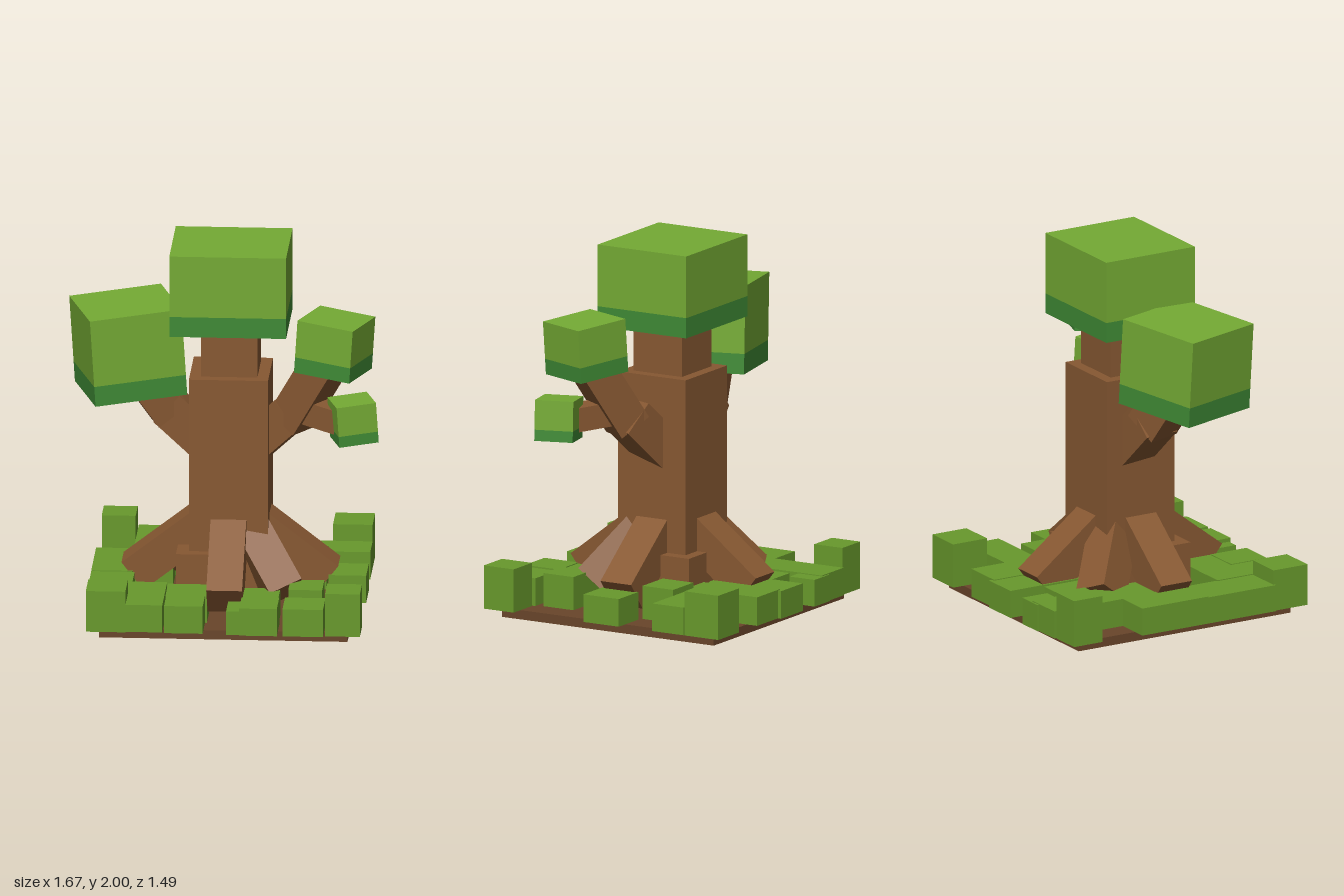
import * as THREE from 'three';

const mat = (color) => new THREE.MeshStandardMaterial({ color, flatShading: true });
const bark = mat(0x875832);
const soil = mat(0x69452a);
const leaf = mat(0x74aa34);
const leafShade = mat(0x3f8a35);
const grass = mat(0x68992c);

const CX = 0.025; // trunk axis

// Axis-aligned box given by its limits
function block(name, material, x0, x1, y0, y1, z0, z1) {
  const mesh = new THREE.Mesh(new THREE.BoxGeometry(x1 - x0, y1 - y0, z1 - z0), material);
  mesh.position.set((x0 + x1) / 2, (y0 + y1) / 2, (z0 + z1) / 2);
  mesh.name = name;
  return mesh;
}

// Square beam between two points, rolled about its own length
function beam(name, from, to, width, roll = 0) {
  const a = new THREE.Vector3(...from);
  const b = new THREE.Vector3(...to);
  const dir = b.clone().sub(a);
  const length = dir.length();
  dir.normalize();
  const side = new THREE.Vector3(0, 1, 0).cross(dir).normalize();
  const up = dir.clone().cross(side);
  const mesh = new THREE.Mesh(new THREE.BoxGeometry(width, width, length), bark);
  mesh.quaternion.setFromRotationMatrix(new THREE.Matrix4().makeBasis(side, up, dir));
  mesh.rotateZ(roll);
  mesh.position.copy(a).add(b).multiplyScalar(0.5);
  mesh.name = name;
  return mesh;
}

// Leaf cube with a darker band along the bottom
function foliage(name, center, [w, h, d], band, yaw = 0, tilt = 0) {
  const group = new THREE.Group();
  group.name = name;
  group.add(
    block('leaves', leaf, -w / 2, w / 2, -h / 2 + band, h / 2, -d / 2, d / 2),
    block('leafShade', leafShade, -w / 2, w / 2, -h / 2, -h / 2 + band, -d / 2, d / 2),
  );
  group.position.set(...center);
  group.rotation.set(0, yaw, tilt);
  return group;
}

export function createModel() {
  const model = new THREE.Group();
  model.name = 'tree';

  // Ground slab and trunk
  model.add(
    block('ground', soil, -0.635, 0.685, 0, 0.05, -0.66, 0.655),
    block('trunk', bark, CX - 0.21, CX + 0.21, 0.04, 1.3, -0.21, 0.21),
    block('upperTrunk', bark, CX - 0.15, CX + 0.15, 1.3, 1.57, -0.15, 0.15),
  );

  // Four straight roots
  const roots = new THREE.Group();
  roots.name = 'roots';
  roots.position.x = CX;
  for (let i = 0; i < 4; i++) {
    const root = new THREE.Group();
    root.name = 'root';
    root.add(beam('rootBeam', [0, 0.478, 0.12], [0, 0.17, 0.517], 0.19));
    root.rotation.y = (i * Math.PI) / 2;
    roots.add(root);
  }
  // Two rolled diagonal roots and two low corner stumps
  for (const s of [1, -1]) {
    roots.add(
      beam('diagonalRoot', [s * 0.11, 0.44, s * 0.11], [s * 0.305, 0.16, s * 0.305], 0.19, 0.5),
      s > 0
        ? block('cornerStump', bark, -0.275, -0.06, 0.04, 0.35, 0.06, 0.27)
        : block('cornerStump', bark, 0.06, 0.275, 0.04, 0.35, -0.27, -0.06),
    );
  }
  model.add(roots);

  // Branches
  model.add(
    beam('leftBranch', [0.08, 0.82, -0.02], [0.36, 1.1, 0.08], 0.2),
    beam('leftBranchTip', [0.35, 1.05, 0.08], [0.54, 1.4, 0.2], 0.19),
    beam('leftTwig', [0.42, 1.13, 0.13], [0.64, 1.11, 0.28], 0.13),
    beam('rightBranch', [-0.03, 0.82, -0.03], [-0.32, 1.1, 0], 0.2),
    beam('rightBranchTip', [-0.3, 1.06, 0], [-0.46, 1.3, 0.05], 0.2),
  );

  // Foliage
  model.add(
    foliage('crown', [CX, 1.778, 0], [0.62, 0.445, 0.55], 0.11),
    foliage('rightFoliage', [-0.515, 1.445, 0.08], [0.5, 0.475, 0.48], 0.11, 0.293, 0.065),
    foliage('leftFoliage', [0.588, 1.505, 0.195], [0.32, 0.29, 0.3], 0.085, -0.35, -0.07),
    foliage('lowerLeftFoliage', [0.692, 1.122, 0.298], [0.215, 0.22, 0.21], 0.06, 0.3, 0.07),
  );

  // Grass tufts: x0, x1, z0, z1, top
  const tufts = [
    [-0.695, -0.515, -0.725, -0.55, 0.305],
    [0.535, 0.745, -0.725, -0.515, 0.29],
    [-0.7, -0.49, 0.51, 0.72, 0.275],
    [0.57, 0.755, 0.54, 0.725, 0.285],
    [-0.51, -0.29, -0.735, -0.3, 0.2],
    [-0.355, -0.2, -0.745, -0.59, 0.195],
    [-0.3, -0.08, -0.535, -0.32, 0.19],
    [-0.08, 0.14, -0.745, -0.3, 0.2],
    [0.12, 0.35, -0.725, -0.32, 0.205],
    [0.34, 0.745, -0.51, -0.315, 0.2],
    [0.15, 0.32, -0.31, -0.1, 0.195],
    [0.32, 0.525, -0.31, -0.12, 0.23],
    [0.55, 0.75, 0.11, -0.11, 0.2],
    [-0.71, -0.49, -0.31, 0.1, 0.2],
    [-0.71, -0.48, 0.1, 0.52, 0.195],
    [-0.49, -0.29, -0.31, -0.1, 0.2],
    [-0.49, -0.295, 0.29, 0.71, 0.2],
    [-0.285, -0.08, 0.5, 0.72, 0.2],
    [-0.29, -0.07, 0.3, 0.52, 0.195],
    [0.045, 0.2, 0.55, 0.73, 0.18],
    [0.115, 0.315, 0.53, 0.74, 0.2],
    [0.345, 0.56, 0.525, 0.74, 0.2],
    [0.36, 0.54, 0.3, 0.485, 0.23],
    [0.12, 0.31, 0.35, 0.53, 0.195],
  ];
  const lawn = new THREE.Group();
  lawn.name = 'grass';
  for (const [x0, x1, za, zb, top] of tufts) {
    lawn.add(block('tuft', grass, x0, x1, 0.05, top, Math.min(za, zb), Math.max(za, zb)));
  }
  model.add(lawn);

  return model;
}
